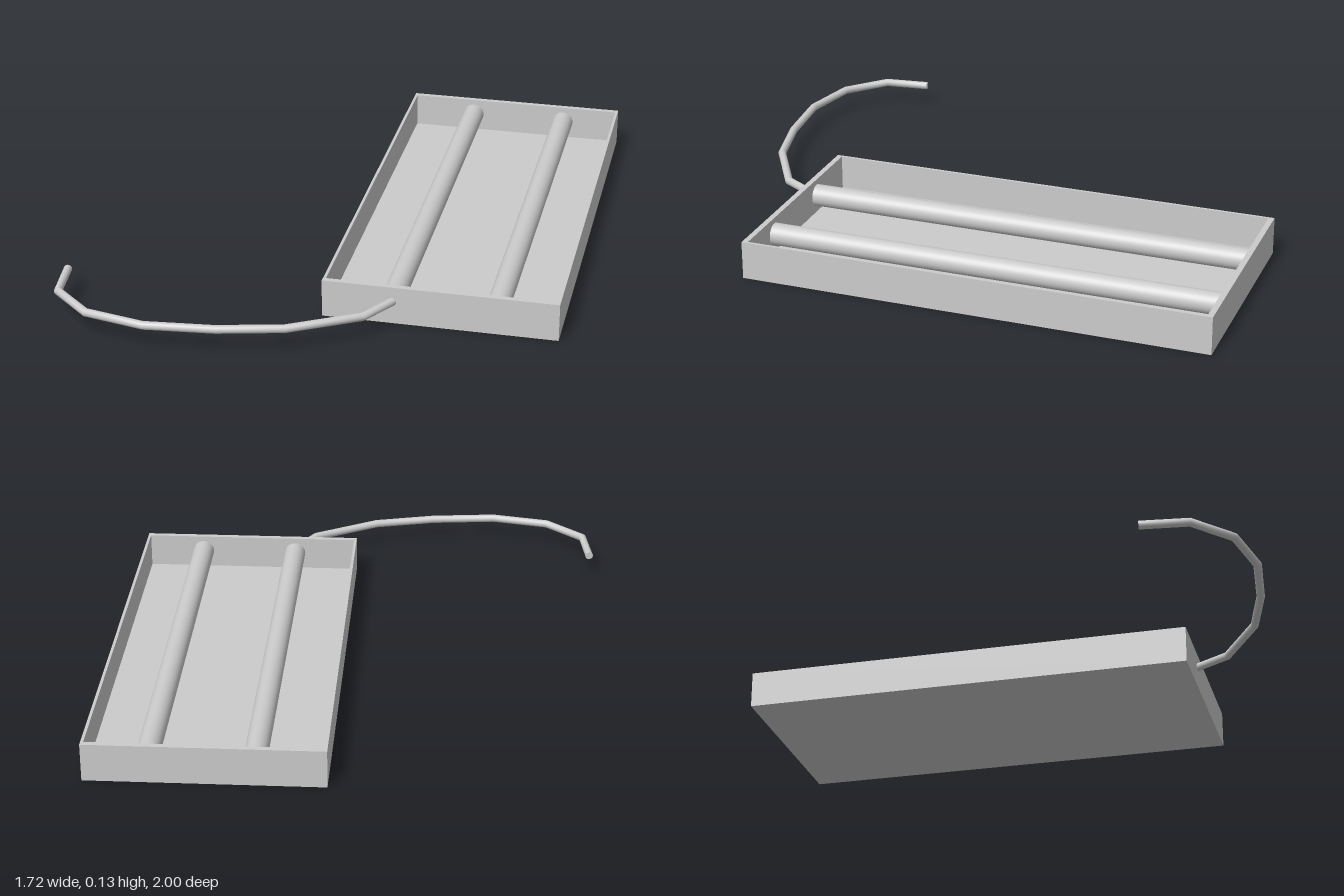
import * as THREE from 'three';

const grey = new THREE.MeshStandardMaterial({ color: 0xcccccc });

function addMesh(parent, name, geometry, x = 0, y = 0, z = 0) {
  const mesh = new THREE.Mesh(geometry, grey);
  mesh.name = name;
  mesh.position.set(x, y, z);
  parent.add(mesh);
  return mesh;
}

function rectangle(PathType, w, d) {
  return new PathType([[-1, -1], [1, -1], [1, 1], [-1, 1]]
    .map(([x, y]) => new THREE.Vector2(x * w / 2, y * d / 2)));
}

// Cable whose rings sit exactly on the given points, giving mitred bends
class CablePath extends THREE.CatmullRomCurve3 {
  getPointAt(u, target) { return this.getPoint(u, target); }
  getTangentAt(u, target) { return this.getTangent(u, target); }
}

export function createModel() {
  const model = new THREE.Group();
  model.name = 'lampTray';

  // Open tray: thin floor inside a rectangular rim
  const width = 0.806, depth = 1.645, height = 0.134, floorHeight = 0.012;
  const side = 0.01, end = 0.02;
  const tray = new THREE.Group();
  tray.name = 'tray';
  tray.position.set(0.453, 0, -0.1775);
  model.add(tray);

  const rim = rectangle(THREE.Shape, width, depth);
  rim.holes.push(rectangle(THREE.Path, width - 2 * side, depth - 2 * end));
  const walls = new THREE.ExtrudeGeometry(rim, { depth: height, bevelEnabled: false });
  walls.rotateX(-Math.PI / 2);
  addMesh(tray, 'trayWalls', walls);
  addMesh(tray, 'trayFloor',
    new THREE.BoxGeometry(width - 2 * side, floorHeight, depth - 2 * end), 0, floorHeight / 2, 0);

  // Two long tubes spanning the tray from end wall to end wall
  const tube = new THREE.CylinderGeometry(0.039, 0.039, depth - 2 * end, 32);
  tube.rotateX(Math.PI / 2);
  addMesh(tray, 'rightTube', tube, -0.165, 0.076, 0);
  addMesh(tray, 'leftTube', tube, 0.189, 0.076, 0);

  // Cable leaving the front wall and curling round to a loose end
  const cable = new THREE.Group();
  cable.name = 'cable';
  model.add(cable);
  const points = [
    [0.295, 0.635], [0.217, 0.767], [-0.013, 0.902], [-0.235, 0.957],
    [-0.475, 0.982], [-0.687, 0.938], [-0.825, 0.815], [-0.846, 0.65],
  ].map(([x, z]) => new THREE.Vector3(x, 0.08, z));
  const radius = 0.0145;
  addMesh(cable, 'cableSheath',
    new THREE.TubeGeometry(new CablePath(points), points.length - 1, radius, 16));

  // Flat cap on the loose end
  const last = points[points.length - 1];
  const cap = addMesh(cable, 'cableEnd', new THREE.CircleGeometry(radius, 16), last.x, last.y, last.z);
  cap.lookAt(last.clone().multiplyScalar(2).sub(points[points.length - 2]));

  return model;
}
